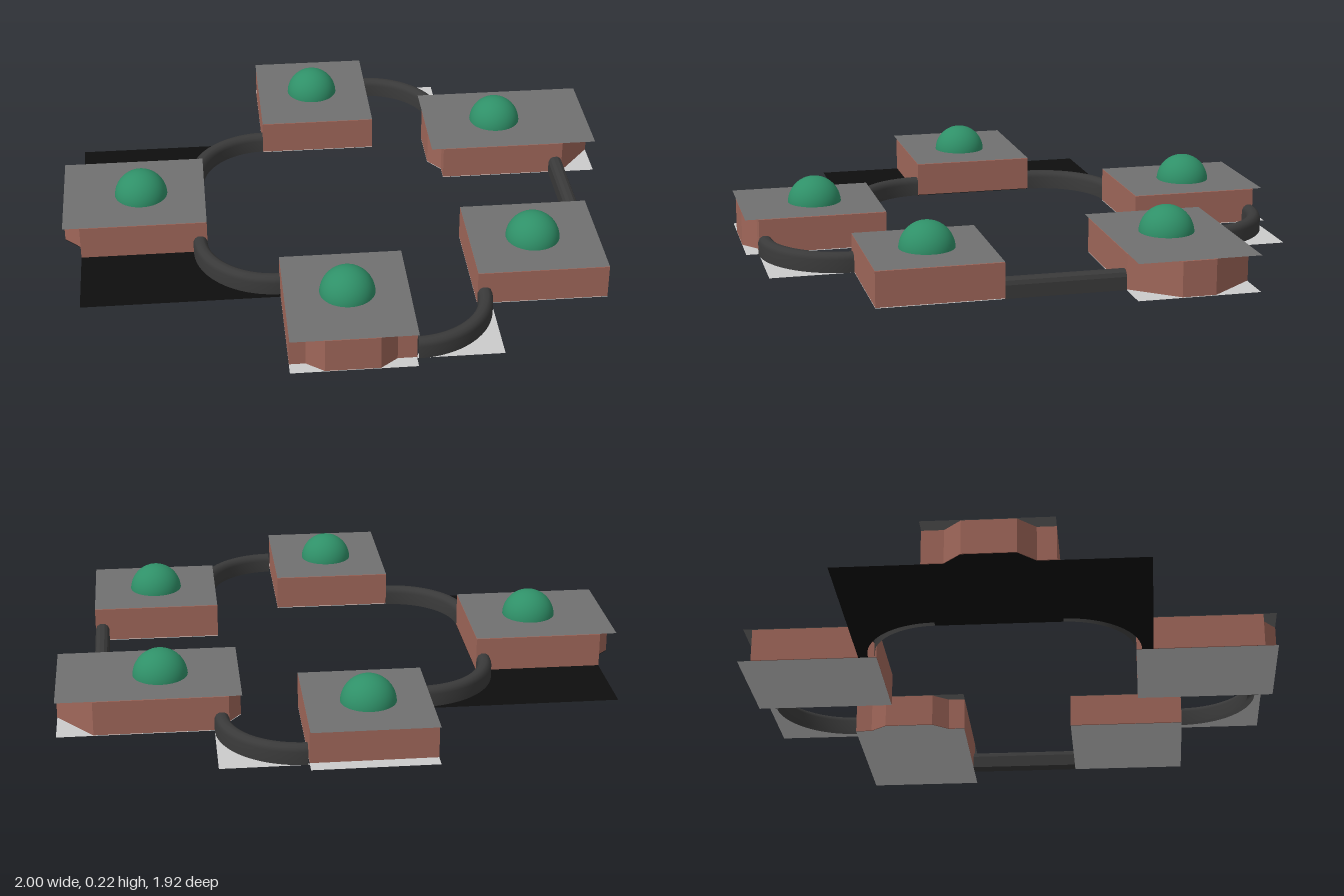
import * as THREE from 'three';

const mat = (color, side = THREE.FrontSide) =>
  new THREE.MeshStandardMaterial({ color, side, roughness: 0.9 });
const brick = mat(0xa0675a);
const slab = mat(0x707070, THREE.DoubleSide);
const paving = mat(0xcccccc, THREE.DoubleSide);
const asphalt = mat(0x0e0e0e, THREE.DoubleSide);
const rubber = mat(0x3a3a3a, THREE.DoubleSide);
const foliage = mat(0x2f9068);

const HEIGHT = 0.125;
const ARC = 0.265; // centreline radius of the curved kerbs

// Plan points are [x, z]; shapes are laid flat afterwards.
const plan = (pts) => new THREE.Shape(pts.map(([x, z]) => new THREE.Vector2(x, -z)));
const rect = (x0, x1, z0, z1) => [[x0, z0], [x1, z0], [x1, z1], [x0, z1]];

// Points of a quarter arc between two angles in plan
const arc = (cx, cz, from, to) => Array.from({ length: 17 }, (_, i) => {
  const a = from + (to - from) * i / 16;
  return [cx + ARC * Math.cos(a), cz + ARC * Math.sin(a)];
});

function add(parent, name, geometry, material) {
  const mesh = new THREE.Mesh(geometry, material);
  mesh.name = name;
  parent.add(mesh);
  return mesh;
}

function plate(parent, name, pts, y, material) {
  const geo = new THREE.ShapeGeometry(plan(pts)).rotateX(-Math.PI / 2);
  return add(parent, name, geo.translate(0, y, 0), material);
}

// Planter: brick walls, flat slab on top, round bush
function planter(parent, { name, walls, top, floor, bush }) {
  const g = new THREE.Group();
  g.name = name;
  parent.add(g);
  const geo = new THREE.ExtrudeGeometry(plan(walls), { depth: HEIGHT - 0.004, bevelEnabled: false });
  add(g, 'brickWalls', geo.rotateX(-Math.PI / 2).translate(0, 0.002, 0), brick);
  plate(g, 'topSlab', rect(...top), HEIGHT, slab);
  if (floor) plate(g, 'baseSlab', floor, 0, paving);
  const dome = new THREE.SphereGeometry(0.095, 40, 20, 0, Math.PI * 2, 0, Math.PI / 2);
  add(g, 'bush', dome, foliage).position.set(bush[0], 0.121, bush[1]);
}

// Kerb cross-section: upright sides and a rounded top, as [offset, y]
const kerb = [[-0.025, 0], [-0.025, 0.045], [-0.019, 0.059], [-0.008, 0.066],
  [0.008, 0.066], [0.019, 0.059], [0.025, 0.045], [0.025, 0]];

function curvedKerb(parent, cx, cz, phiStart) {
  const pts = kerb.map(([o, y]) => new THREE.Vector2(ARC + o, y));
  const geo = new THREE.LatheGeometry(pts, 24, phiStart, Math.PI / 2);
  add(parent, 'curvedKerb', geo, rubber).position.set(cx, 0, cz);
}

export function createModel() {
  const model = new THREE.Group();
  model.name = 'planterRing';

  // Planters, some with a faceted bay on one wall
  const cInner = [[0.42, -0.27], [0.375, -0.33], [0.375, -0.51], [0.42, -0.57]];
  const planters = [
    {
      name: 'sidePlanter', top: [-1, -0.49, -0.225, 0.215], bush: [-0.72, 0],
      walls: [[-0.49, -0.225], [-0.49, 0.215], [-0.94, 0.215], [-0.94, 0.15],
        [-1, 0.09], [-1, -0.09], [-0.94, -0.15], [-0.94, -0.225]],
    },
    {
      name: 'backPlanter', top: [-0.25, 0.175, -0.945, -0.46], bush: [-0.04, -0.71],
      walls: rect(-0.25, 0.175, -0.912, -0.46), floor: rect(-0.25, 0.175, -0.96, -0.46),
    },
    {
      name: 'frontPlanter', top: [-0.25, 0.175, 0.46, 0.957], bush: [-0.035, 0.685],
      walls: [[-0.25, 0.46], [0.175, 0.46], [0.175, 0.91], [0.11, 0.91], [0.05, 0.957],
        [-0.135, 0.957], [-0.195, 0.91], [-0.25, 0.91]],
      floor: rect(-0.25, 0.175, 0.46, 0.957),
    },
    {
      name: 'wideCornerPlanter', top: [0.375, 1, -0.63, -0.21], bush: [0.645, -0.42],
      walls: [[0.42, -0.63], [0.875, -0.63], [1, -0.475], [1, -0.36],
        [0.875, -0.21], [0.42, -0.21], ...cInner],
      floor: [[0.42, -0.63], [1, -0.63], [1, -0.21], [0.42, -0.21], ...cInner],
    },
    {
      name: 'cornerPlanter', top: [0.42, 0.875, 0.2, 0.625], bush: [0.645, 0.41],
      walls: rect(0.42, 0.875, 0.2, 0.625), floor: rect(0.42, 0.875, 0.2, 0.625),
    },
  ];
  planters.forEach((p) => planter(model, p));

  // Curved kerbs linking the planters
  curvedKerb(model, -0.25, -0.225, Math.PI);
  curvedKerb(model, -0.25, 0.215, -Math.PI / 2);
  curvedKerb(model, 0.18, -0.63, Math.PI / 2);
  curvedKerb(model, 0.18, 0.625, 0);

  // Straight kerb between the two corner planters
  const straight = new THREE.ExtrudeGeometry(
    new THREE.Shape(kerb.map(([o, y]) => new THREE.Vector2(o, y))),
    { depth: 0.41, bevelEnabled: false });
  add(model, 'straightKerb', straight, rubber).position.set(0.85, 0, -0.21);

  // Dark ground outside the kerbs and beneath the side planter
  plate(model, 'darkGround', [
    [-0.25, -0.525], ...arc(-0.25, -0.225, Math.PI * 1.5, Math.PI), [-0.49, -0.225],
    [-0.49, 0.215], ...arc(-0.25, 0.215, Math.PI, Math.PI / 2), [-0.25, 0.52],
    [-0.94, 0.52], [-0.94, 0.15], [-1, 0.09], [-1, -0.09], [-0.94, -0.15], [-0.94, -0.525],
  ], 0, asphalt);

  // Pale paving in the two outer corners
  for (const [s, z0, z1] of [[-1, -0.63, -0.92], [1, 0.625, 0.913]]) {
    plate(model, 'cornerPaving', [
      [0.175, z1], [0.47, z1], [0.47, z0], ...arc(0.18, z0, 0, s * Math.PI / 2),
    ], 0, paving);
  }
  return model;
}
